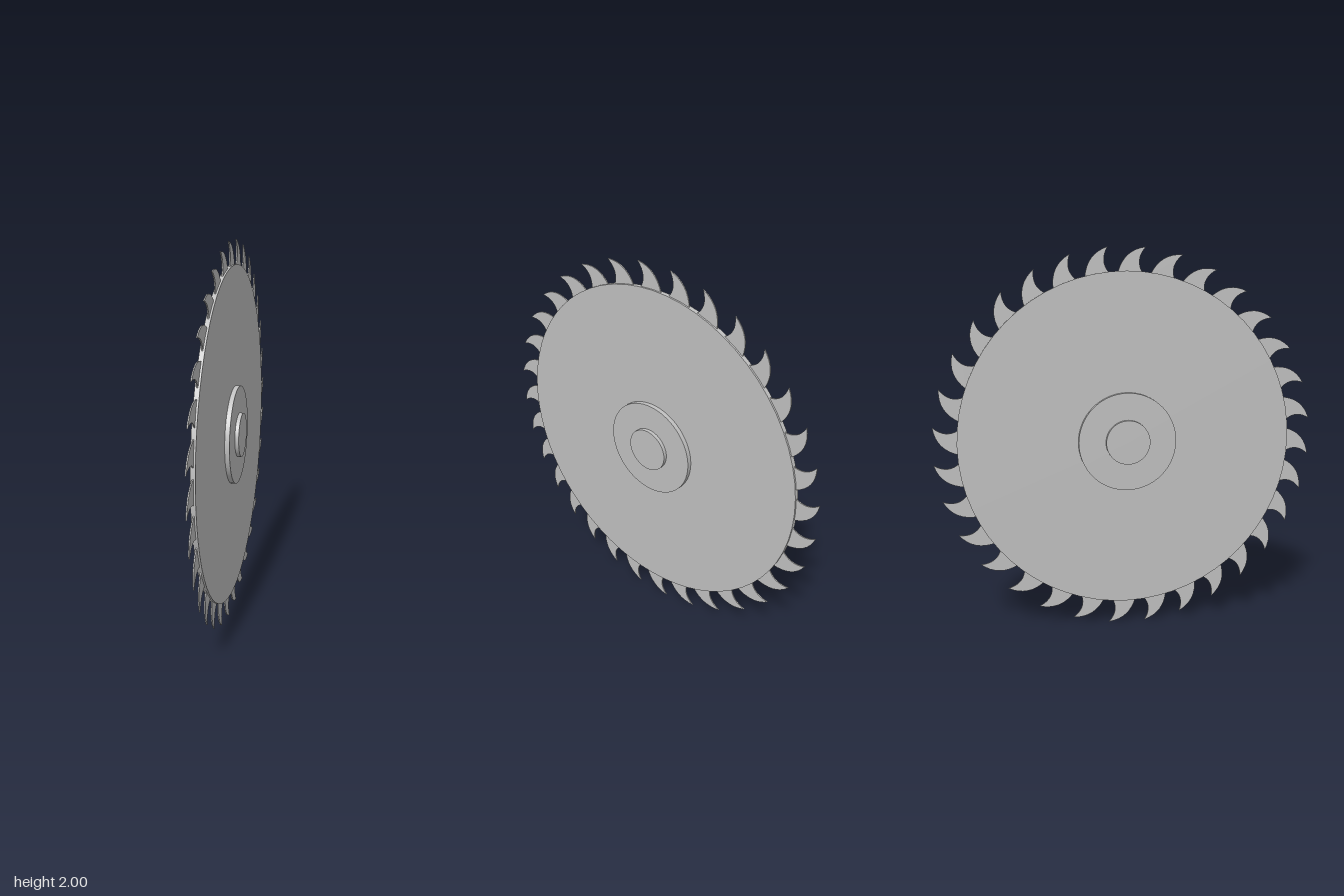
import * as THREE from 'three';

const TEETH = 32;
const STEP = (Math.PI * 2) / TEETH;
const DISC_RADIUS = 0.88;
const TIP_RADIUS = 1 / Math.cos(STEP / 2);

// Point at radius r and clockwise angle a from the top
function polar(r, a) {
  return [r * Math.sin(a), r * Math.cos(a)];
}

// Toothed ring: each tooth has a convex back and a hooked, concave front
function toothRingGeometry(thickness) {
  const deg = Math.PI / 180;
  const root = DISC_RADIUS - 0.008;
  const shape = new THREE.Shape();
  for (let i = 0; i < TEETH; i++) {
    const a = (i + 0.5) * STEP;
    const start = polar(root, a + 0.2 * deg);
    if (i === 0) shape.moveTo(...start);
    else shape.lineTo(...start);
    shape.quadraticCurveTo(...polar(0.935, a + 3.2 * deg), ...polar(TIP_RADIUS, a));
    shape.quadraticCurveTo(...polar(0.985, a + 6.6 * deg), ...polar(root, a + 8.7 * deg));
  }
  shape.closePath();
  const hole = new THREE.Path();
  hole.absarc(0, 0, 0.8, 0, Math.PI * 2, false);
  shape.holes.push(hole);
  const geometry = new THREE.ExtrudeGeometry(shape, {
    depth: thickness, bevelEnabled: false, curveSegments: 8,
  });
  geometry.translate(0, 0, -thickness / 2);
  geometry.rotateY(Math.PI / 2);
  return geometry;
}

export function createModel() {
  const steel = new THREE.MeshStandardMaterial({ color: 0xc0c0c0 });
  steel.name = 'steel';
  const model = new THREE.Group();
  model.name = 'sawBlade';

  function add(name, geometry) {
    const mesh = new THREE.Mesh(geometry, steel);
    mesh.name = name;
    mesh.position.y = 1;
    model.add(mesh);
  }

  // Round plate lying across the x axis
  function plate(name, radius, thickness) {
    const geometry = new THREE.CylinderGeometry(radius, radius, thickness, 64);
    geometry.rotateZ(Math.PI / 2);
    add(name, geometry);
  }

  add('teeth', toothRingGeometry(0.006));
  plate('disc', DISC_RADIUS, 0.024);
  plate('flange', 0.258, 0.072);
  plate('axle', 0.116, 0.112);
  return model;
}
